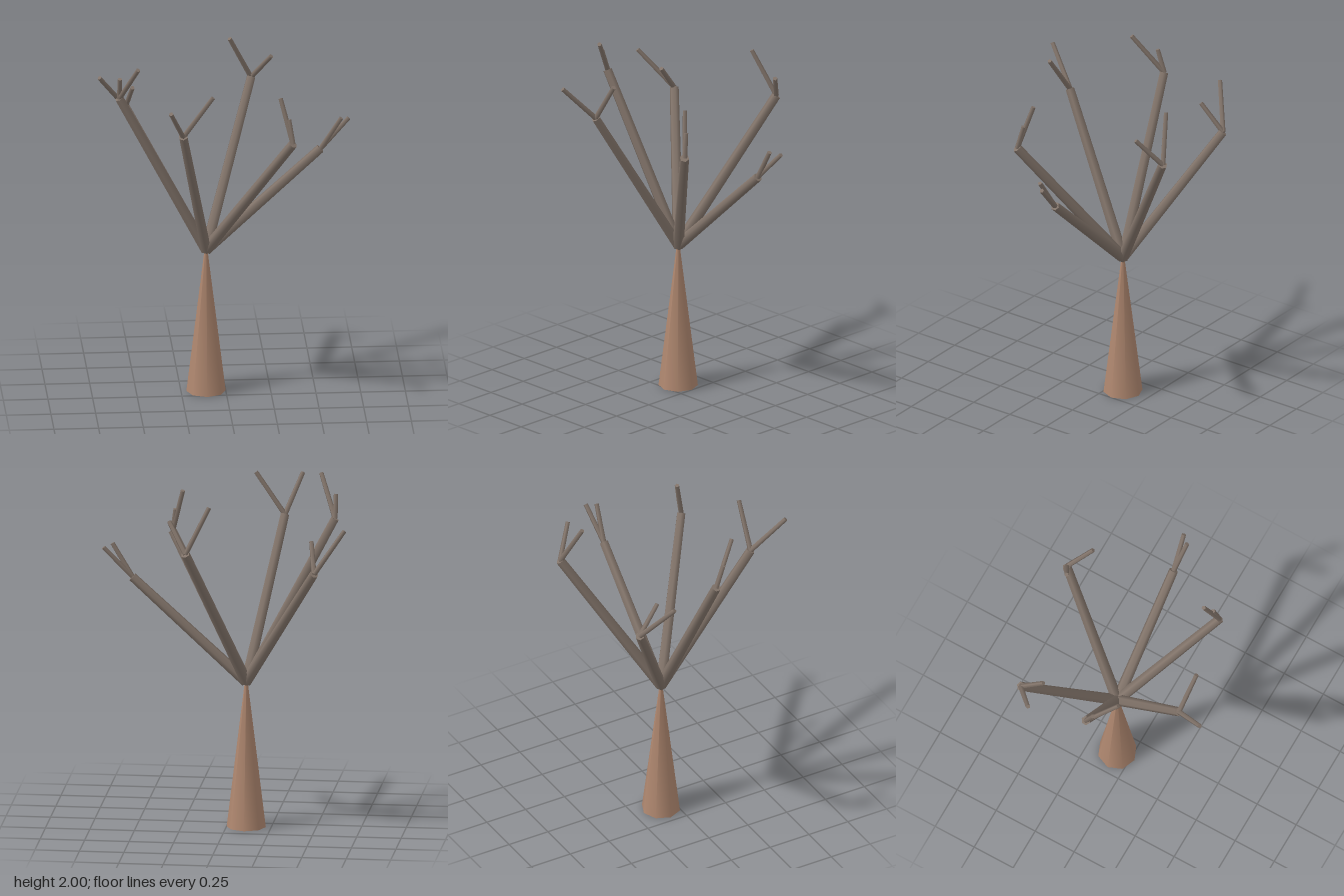
import * as THREE from 'three';

const barkMaterial = new THREE.MeshStandardMaterial({ color: 0xb08870 });
const branchMaterial = new THREE.MeshStandardMaterial({ color: 0x82746a });

// Tapered round limb running between two points
function limb(name, from, to, r0, r1, sides) {
  const dir = to.clone().sub(from);
  const mesh = new THREE.Mesh(new THREE.CylinderGeometry(r1, r0, dir.length(), sides), branchMaterial);
  mesh.name = name;
  mesh.position.copy(from).add(to).multiplyScalar(0.5);
  mesh.quaternion.setFromUnitVectors(new THREE.Vector3(0, 1, 0), dir.normalize());
  return mesh;
}

// Each branch: its tip, then the tips of its two twigs
const branches = [
  [[-0.60, 1.77, -0.01], [-0.505, 1.99, 0.145], [-0.60, 1.90, 0.035]],
  [[-0.535, 1.56, -0.465], [-0.69, 1.78, -0.33], [-0.505, 1.715, -0.335]],
  [[-0.27, 1.68, 0.40], [-0.35, 1.88, 0.58], [-0.105, 1.915, 0.42]],
  [[0.175, 1.68, -0.57], [0.05, 1.935, -0.50], [0.28, 1.84, -0.46]],
  [[0.35, 1.59, 0.31], [0.285, 1.84, 0.245], [0.33, 1.725, 0.28]],
  [[0.53, 1.42, -0.085], [0.69, 1.59, -0.11], [0.645, 1.605, -0.065]],
];

export function createModel() {
  const tree = new THREE.Group();
  tree.name = 'bareTree';
  const crown = new THREE.Vector3(-0.11, 0.835, -0.085);

  // Conical trunk
  const height = 0.87;
  const trunk = new THREE.Mesh(new THREE.CylinderGeometry(0.004, 0.11, height, 8), barkMaterial);
  trunk.name = 'trunk';
  trunk.position.set(crown.x, height / 2, crown.z);
  tree.add(trunk);

  // Branches fanning out from the trunk top, each forking into two twigs
  for (const [tip, ...twigTips] of branches) {
    const end = new THREE.Vector3(...tip);
    const group = new THREE.Group();
    group.name = 'forkedBranch';
    group.add(limb('branch', crown, end, 0.032, 0.026, 6));
    for (const t of twigTips) group.add(limb('twig', end, new THREE.Vector3(...t), 0.015, 0.013, 5));
    tree.add(group);
  }
  return tree;
}
